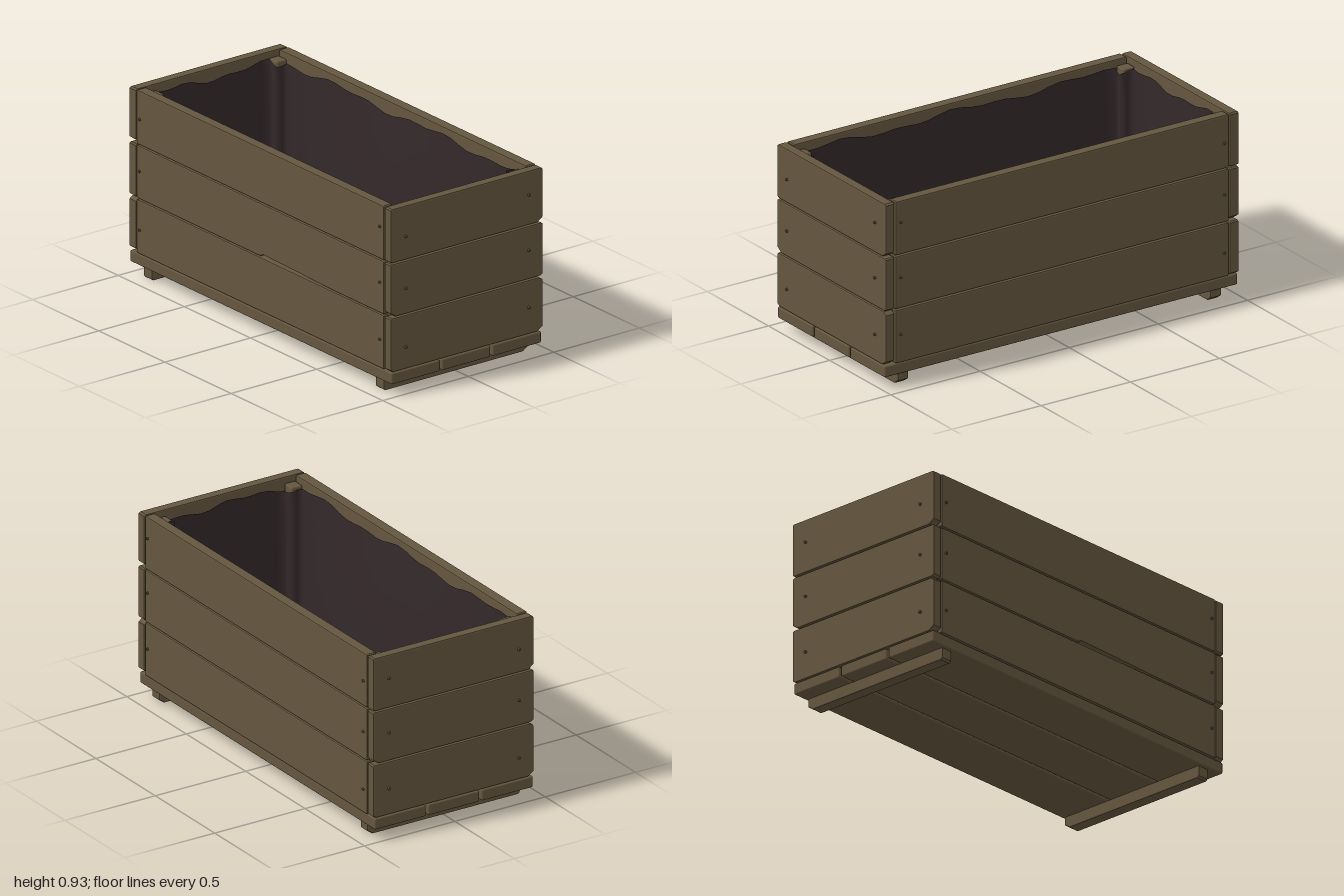
import * as THREE from 'three';
import { RoundedBoxGeometry } from 'three/addons/geometries/RoundedBoxGeometry.js';

const wood = new THREE.MeshStandardMaterial({ color: 0x65573f });
wood.name = 'weathered wood';
const nailMetal = new THREE.MeshStandardMaterial({ color: 0x5a4d39 });
nailMetal.name = 'dull nail';
const cloth = new THREE.MeshStandardMaterial({ color: 0x33282a, side: THREE.DoubleSide });
cloth.name = 'dark liner cloth';

// Plank standing in the xy plane; chips = worn corner sizes (bottom left, bottom right, top right, top left)
function plank(w, y0, y1, t, chips, notch) {
  const b = 0.006, x = w / 2, [bl, br, tr, tl] = chips;
  const s = new THREE.Shape();
  s.moveTo(-x + bl, y0);
  if (notch) {
    s.lineTo(notch[0], y0);
    s.lineTo(notch[0] + 0.02, y0 + notch[2]);
    s.lineTo(notch[1], y0);
  }
  s.lineTo(x - br, y0);
  s.lineTo(x, y0 + br * 0.7);
  s.lineTo(x, y1 - tr * 0.7);
  s.lineTo(x - tr, y1);
  s.lineTo(-x + tl, y1);
  s.lineTo(-x, y1 - tl * 0.7);
  s.lineTo(-x, y0 + bl * 0.7);
  s.closePath();
  const g = new THREE.ExtrudeGeometry(s, {
    depth: t - 2 * b, bevelThickness: b, bevelSize: b, bevelOffset: -b, bevelSegments: 2,
  });
  return g.translate(0, 0, -t / 2 + b);
}

// Outline of the liner, stepping inward around the corner posts; each point carries its bulge
function linerOutline() {
  const X = 0.925, Z = 0.383, px = 0.865, pz = 0.325;
  const pts = [];
  const run = (ax, az, bx, bz, n, nx, nz, bulge) => {
    for (let i = 0; i < n; i++) {
      const t = i / n, k = bulge * Math.sin(Math.PI * t);
      pts.push({ x: ax + (bx - ax) * t, z: az + (bz - az) * t, dx: nx * k, dz: nz * k });
    }
  };
  for (const s of [1, -1]) {
    run(-px * s, Z * s, px * s, Z * s, 28, 0, -s, 0.05);
    run(px * s, Z * s, px * s, pz * s, 2, 0, 0, 0);
    run(px * s, pz * s, X * s, pz * s, 2, 0, 0, 0);
    run(X * s, pz * s, X * s, -pz * s, 14, -s, 0, 0.02);
    run(X * s, -pz * s, px * s, -pz * s, 2, 0, 0, 0);
    run(px * s, -pz * s, px * s, -Z * s, 2, 0, 0, 0);
  }
  return pts;
}

// Sagging cloth walls with a wavy top edge
function linerWalls(pts) {
  const rows = 8, n = pts.length, pos = [], idx = [];
  for (let r = 0; r <= rows; r++) {
    const v = r / rows;
    pts.forEach((p, i) => {
      const top = 0.885 + 0.012 * Math.sin(i * 0.55) + 0.008 * Math.sin(i * 1.3 + 1);
      const sag = Math.sin(Math.PI * Math.min(1, v * 1.1) * 0.5);
      pos.push(p.x + p.dx * sag, top + (0.125 - top) * v, p.z + p.dz * sag);
      if (r < rows) {
        const a = r * n + i, c = r * n + (i + 1) % n;
        idx.push(a, c, a + n, c, c + n, a + n);
      }
    });
  }
  const g = new THREE.BufferGeometry();
  g.setAttribute('position', new THREE.Float32BufferAttribute(pos, 3));
  g.setIndex(idx);
  g.computeVertexNormals();
  return g;
}

export function createModel() {
  const model = new THREE.Group();
  const add = (name, geo, mat, x = 0, y = 0, z = 0) => {
    const m = new THREE.Mesh(geo, mat);
    m.name = name;
    m.position.set(x, y, z);
    model.add(m);
    return m;
  };

  // Three rows of wall planks
  const rows = [
    { y: [0.12, 0.387], nail: [0.23, 0.253], end: [0.015, 0.03, 0.02, 0.008], notch: null },
    { y: [0.393, 0.656], nail: [0.522, 0.537], end: [0.03, 0.012, 0.008, 0.008], notch: [0, 0.55, 0.012] },
    { y: [0.662, 0.93], nail: [0.78, 0.813], end: [0.01, 0.03, 0.01, 0.008], notch: null },
  ];
  const longChips = [0.006, 0.006, 0.006, 0.006];
  for (const row of rows) {
    const [y0, y1] = row.y;
    for (const s of [1, -1]) {
      const long = add(s > 0 ? 'frontPlank' : 'backPlank',
        plank(1.868, y0, y1, 0.054, longChips, s > 0 ? row.notch : null), wood, 0, 0, 0.417 * s);
      if (s < 0) long.rotation.y = Math.PI;
      const end = add(s > 0 ? 'leftEndPlank' : 'rightEndPlank',
        plank(0.888, y0, y1, 0.05, row.end), wood, 0.965 * s, 0, 0);
      end.rotation.y = s * Math.PI / 2;

      // Nail heads, two per plank
      [1, -1].forEach((side, i) => {
        const endNail = add('endNail', new THREE.CylinderGeometry(0.006, 0.007, 0.012, 10),
          nailMetal, 0.994 * s, row.nail[i], 0.36 * side);
        endNail.rotation.z = -s * Math.PI / 2;
        const longNail = add('longSideNail', new THREE.CylinderGeometry(0.006, 0.007, 0.012, 10),
          nailMetal, -0.908 * side, row.nail[i] + 0.01, 0.446 * s);
        longNail.rotation.x = s * Math.PI / 2;
      });
    }
  }

  // Base planks with gaps between them
  for (const [z0, z1] of [[0.157, 0.44], [-0.139, 0.144], [-0.435, -0.152]]) {
    add('basePlank', new RoundedBoxGeometry(1.98, 0.056, z1 - z0, 2, 0.007), wood, 0, 0.088, (z0 + z1) / 2);
  }

  // Foot rails and corner posts
  for (const s of [1, -1]) {
    const foot = add('footRail', plank(0.844, 0, 0.062, 0.062, [0.012, 0.03, 0.006, 0.006]), wood, 0.877 * s, 0, 0);
    foot.rotation.y = Math.PI / 2;
    for (const t of [1, -1]) {
      add('cornerPost', new RoundedBoxGeometry(0.064, 0.785, 0.06, 2, 0.008), wood, 0.905 * s, 0.508, 0.359 * t);
    }
  }

  // Cloth liner: walls and floor
  const outline = linerOutline();
  add('linerWalls', linerWalls(outline), cloth);
  const floor = new THREE.Shape(outline.map((p) => new THREE.Vector2(p.x + p.dx, -(p.z + p.dz))));
  add('linerFloor', new THREE.ShapeGeometry(floor).rotateX(-Math.PI / 2), cloth, 0, 0.125, 0);
  return model;
}
